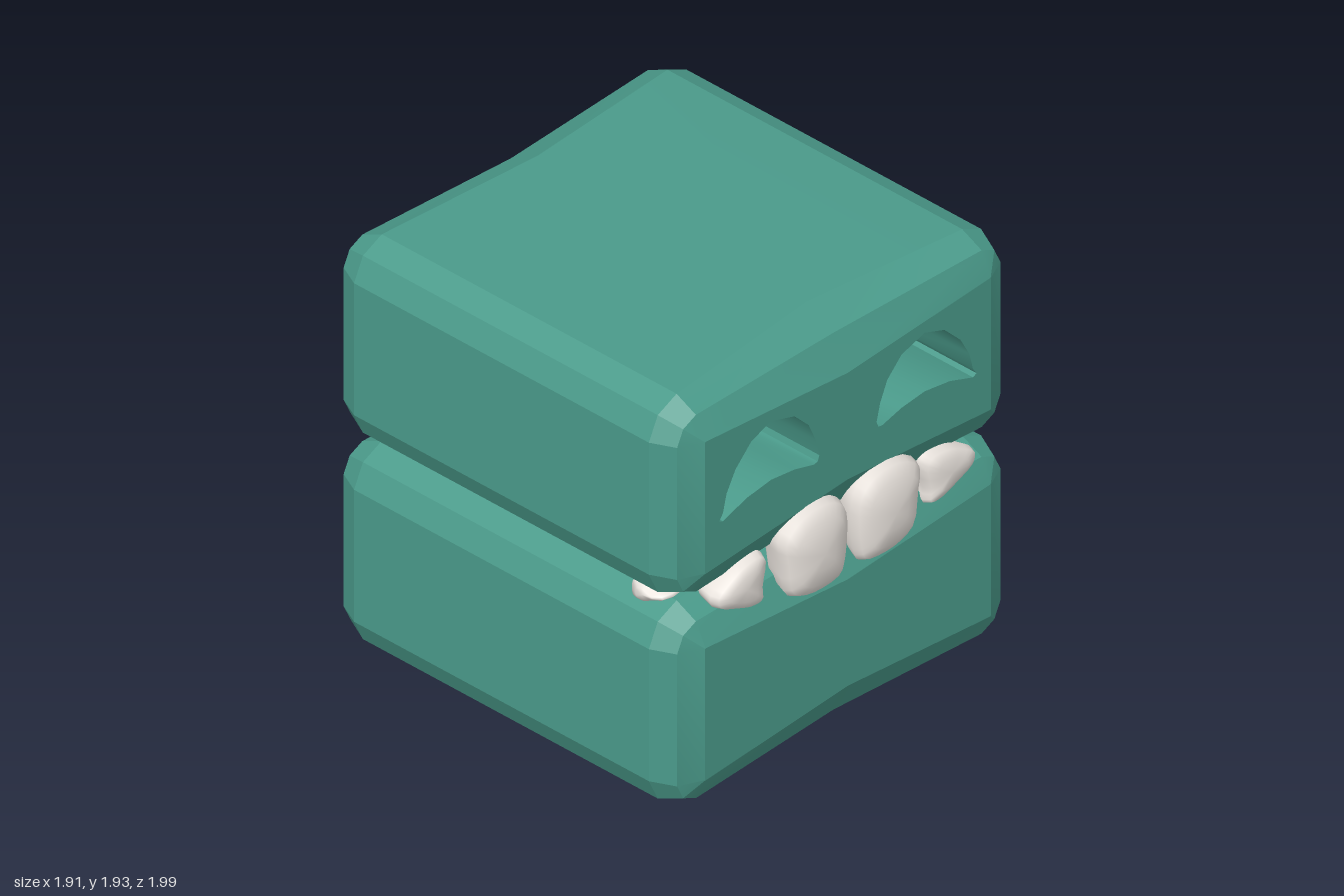
import * as THREE from 'three';
import { toCreasedNormals } from 'three/addons/utils/BufferGeometryUtils.js';

const teal = new THREE.MeshStandardMaterial({ color: 0x4a9a8a });
const tealInside = new THREE.MeshStandardMaterial({ color: 0x4a9a8a, side: THREE.DoubleSide });
const ivory = new THREE.MeshStandardMaterial({ color: 0xece6e0 });

// Skin a list of equal-length rings, counter-clockwise from +z and ordered back to front
function loft(rings, capBack, capFront) {
  const n = rings[0].length, pos = [], index = [];
  rings.forEach(ring => ring.forEach(p => pos.push(p.x, p.y, p.z)));
  for (let i = 0; i < rings.length - 1; i++) {
    for (let j = 0; j < n; j++) {
      const a = i * n + j, b = i * n + (j + 1) % n;
      index.push(a, b, b + n, a, b + n, a + n);
    }
  }
  const cap = (i, front, bulge) => {
    const c = new THREE.Vector3();
    rings[i].forEach(p => c.addScaledVector(p, 1 / n));
    const centre = pos.length / 3;
    pos.push(c.x, c.y, c.z + bulge);
    for (let j = 0; j < n; j++) {
      const a = i * n + j, b = i * n + (j + 1) % n;
      index.push(...(front ? [a, b, centre] : [b, a, centre]));
    }
  };
  if (capBack !== null) cap(0, false, -capBack);
  if (capFront !== null) cap(rings.length - 1, true, capFront);
  const g = new THREE.BufferGeometry();
  g.setAttribute('position', new THREE.Float32BufferAttribute(pos, 3));
  g.setIndex(index);
  g.computeVertexNormals();
  return g;
}

function add(group, name, geometry, material) {
  const mesh = new THREE.Mesh(geometry, material);
  mesh.name = name;
  group.add(mesh);
  return mesh;
}

// Bevelled block sections: z, inset, inward shift of the mid point in z and y
const HALF_X = 0.955, HALF_Y = 0.465, BEVEL = 0.155, FRONT = 0.92;
const SECTIONS = [
  [-0.99, 0.155, 0, 0.06], [-0.94, 0.05, 0.03, 0.015], [-0.835, 0, 0.07, -0.015],
  [0.765, 0, -0.07, -0.015], [0.87, 0.05, -0.03, 0.015], [FRONT, 0.155, 0, 0.06]
];

function blockRings(cy) {
  return SECTIONS.map(([z, inset, midZ, midY]) => {
    const w = HALF_X - inset, h = HALF_Y - inset;
    const r = Math.max(BEVEL - inset, 0.004), k = r * 0.32;
    const right = [[w, -h + r], [w, h - r], [w - k, h - k], [w - r, h]];
    const half = [...right, [0, h - midY]];
    // The second half is the first turned half a circle
    return [...half, ...half.map(([x, y]) => [-x, -y])]
      .reduce((out, [x, y], i) => {
        out.push(new THREE.Vector3(x, cy + y, i % 5 === 4 ? z + midZ : z));
        // Close each half with the bevel beside the next vertical edge
        if (i === 4) out.push(new THREE.Vector3(-w + r, cy + h, z), new THREE.Vector3(-w + k, cy + h - k, z));
        if (i === 9) out.push(new THREE.Vector3(w - r, cy - h, z), new THREE.Vector3(w - k, cy - h + k, z));
        return out;
      }, []);
  });
}

const EYE = [
  [0.17, 1.365], [0.16, 1.39], [0.18, 1.47], [0.22, 1.56], [0.30, 1.64], [0.43, 1.68],
  [0.54, 1.64], [0.63, 1.55], [0.68, 1.46], [0.70, 1.38], [0.72, 1.35], [0.70, 1.34],
  [0.57, 1.385], [0.43, 1.405], [0.30, 1.39], [0.19, 1.36]
];

// Outline points mirrored for either side, always counter-clockwise
function outline(points, side) {
  const out = points.map(([x, y]) => new THREE.Vector2(x * side, y));
  return THREE.ShapeUtils.isClockWise(out) ? out.reverse() : out;
}

// Tooth: smooth outline swollen through a rounded depth profile [z, scale]
function toothGeometry(points, side, profile, bulge) {
  const ring = outline(points, side);
  const curve = new THREE.CatmullRomCurve3(
    ring.map(p => new THREE.Vector3(p.x, p.y, 0)), true, 'centripetal');
  const pts = curve.getPoints(28).slice(0, 28);
  const c = new THREE.Box3().setFromPoints(pts).getCenter(new THREE.Vector3());
  const rings = profile.map(([z, s]) => pts.map(p =>
    new THREE.Vector3(c.x + (p.x - c.x) * s, c.y + (p.y - c.y) * s, z)));
  return loft(rings, 0.01, bulge);
}

const TEETH = [
  {
    name: 'frontTooth', turn: 0, bulge: 0.004,
    points: [[0.02, 0.99], [0.03, 1.1], [0.08, 1.16], [0.18, 1.19], [0.3, 1.17], [0.385, 1.1],
      [0.375, 0.98], [0.35, 0.83], [0.28, 0.785], [0.17, 0.77], [0.06, 0.79], [0.035, 0.85]],
    profile: [[0.74, 0.45], [0.82, 0.85], [0.915, 1], [0.95, 0.92], [0.978, 0.7], [0.992, 0.35]]
  },
  {
    name: 'sideTooth', turn: 0, bulge: 0.003,
    points: [[0.44, 1.04], [0.47, 1.075], [0.57, 1.07], [0.66, 1.03], [0.73, 0.98],
      [0.72, 0.93], [0.62, 0.88], [0.52, 0.845], [0.46, 0.85], [0.46, 0.92]],
    profile: [[0.72, 0.5], [0.8, 0.85], [0.88, 1], [0.915, 0.9], [0.932, 0.55]]
  },
  {
    name: 'backTooth', turn: 1, bulge: 0.004,
    points: [[-0.77, 0.975], [-0.7, 1.0], [-0.64, 1.02], [-0.585, 1.005], [-0.57, 0.96],
      [-0.58, 0.915], [-0.64, 0.91], [-0.7, 0.94]],
    profile: [[0.68, 0.55], [0.75, 0.9], [0.82, 1], [0.865, 0.85], [0.885, 0.45]]
  }
];

export function createModel() {
  const model = new THREE.Group();
  model.name = 'blockHead';

  // Lower jaw
  add(model, 'lowerJaw', toCreasedNormals(loft(blockRings(0.48), 0, 0), 0.3), teal);

  // Upper head, with its front face cut for the eyes
  const head = new THREE.Group();
  head.name = 'upperHead';
  model.add(head);
  const rings = blockRings(1.45);
  add(head, 'headShell', toCreasedNormals(loft(rings, 0, null), 0.3), teal);
  const face = new THREE.Shape(rings.at(-1).map(p => new THREE.Vector2(p.x, p.y)));
  for (const side of [1, -1]) face.holes.push(new THREE.Path(outline(EYE, side)));
  add(head, 'face', new THREE.ShapeGeometry(face).translate(0, 0, FRONT), teal);

  // Deep eye sockets with a tilted ledge at the back
  const socketBack = 0.42;
  for (const side of [1, -1]) {
    const eye = new THREE.Group();
    eye.name = side > 0 ? 'leftEye' : 'rightEye';
    head.add(eye);
    const pts = outline(EYE, side);
    const walls = [socketBack, FRONT].map(z => pts.map(p => new THREE.Vector3(p.x, p.y, z)));
    add(eye, 'socketWall', toCreasedNormals(loft(walls, null, null), 0.6), tealInside);
    add(eye, 'socketBack', new THREE.ShapeGeometry(new THREE.Shape(pts)).translate(0, 0, socketBack), teal);
    const ledge = add(eye, 'socketLedge', new THREE.BoxGeometry(0.45, 0.1, 0.03), teal);
    ledge.position.set(side * 0.395, 1.39, socketBack + 0.02);
    ledge.rotation.x = 0.35;
  }

  // Teeth on both sides
  for (const side of [1, -1]) {
    for (const { name, turn, points, profile, bulge } of TEETH) {
      const tooth = add(model, (side > 0 ? 'left ' : 'right ') + name,
        toothGeometry(points, side, profile, bulge), ivory);
      tooth.rotation.y = turn * side * Math.PI / 2;
    }
  }
  return model;
}
